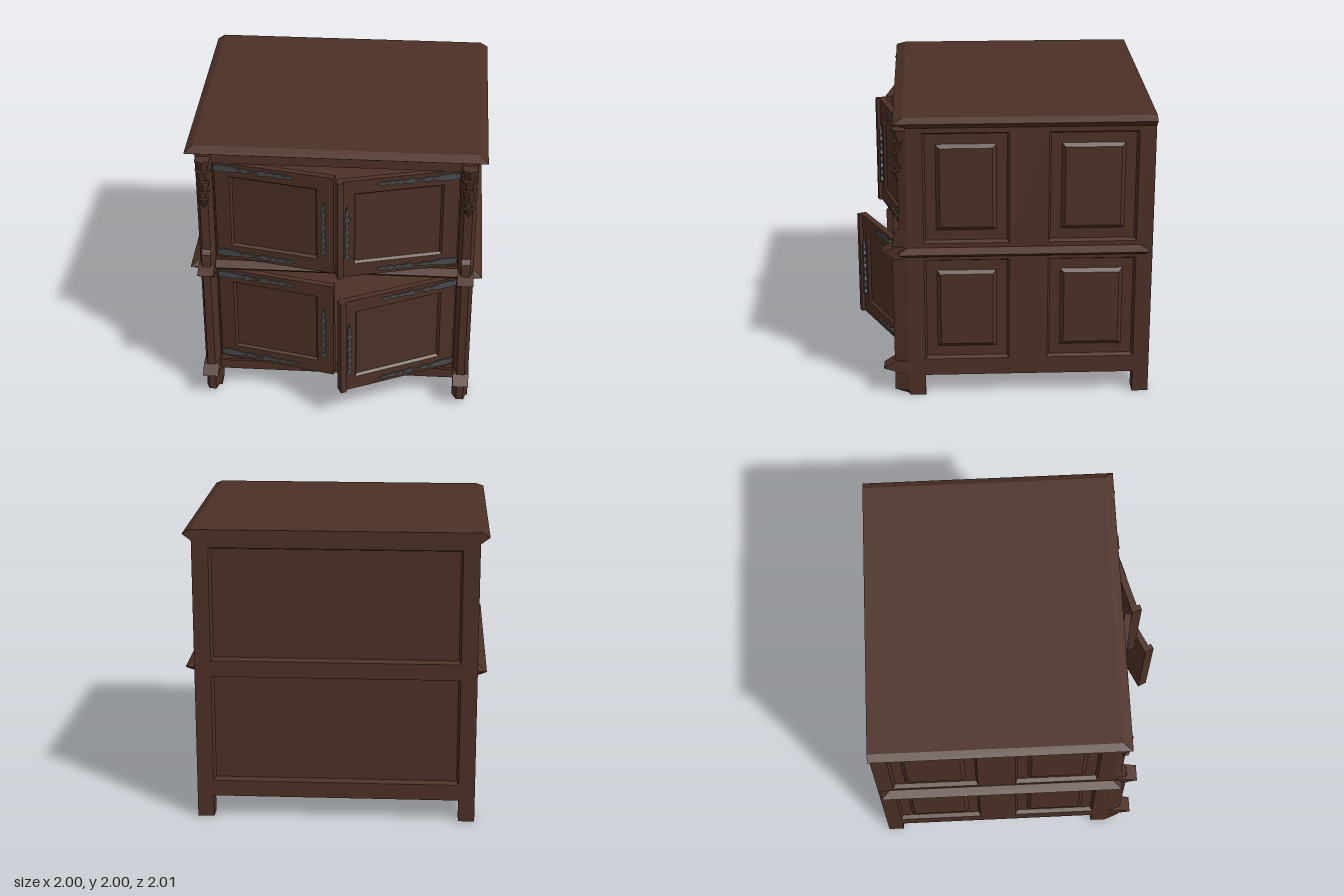
import * as THREE from 'three';

const wood = new THREE.MeshStandardMaterial({ color: 0x4c3025 });
wood.name = 'dark wood';
const iron = new THREE.MeshStandardMaterial({ color: 0x474a4c });
iron.name = 'grey iron';

function add(parent, name, geometry, material = wood) {
  const mesh = new THREE.Mesh(geometry, material);
  mesh.name = name;
  parent.add(mesh);
  return mesh;
}

function box(parent, name, x0, x1, y0, y1, z0, z1) {
  const g = new THREE.BoxGeometry(x1 - x0, y1 - y0, z1 - z0);
  return add(parent, name, g.translate((x0 + x1) / 2, (y0 + y1) / 2, (z0 + z1) / 2));
}

// Flat-faced skin over matching rings of corners, counter-clockwise seen from +z.
function loft(rings, capStart = false) {
  const p = [];
  const fan = (r) => { for (let i = 1; i < r.length - 1; i++) p.push(...r[0], ...r[i], ...r[i + 1]); };
  for (let k = 0; k < rings.length - 1; k++) {
    const a = rings[k], b = rings[k + 1];
    a.forEach((c, i) => {
      const j = (i + 1) % a.length;
      p.push(...c, ...a[j], ...b[j], ...c, ...b[j], ...b[i]);
    });
  }
  fan(rings.at(-1));
  if (capStart) fan([...rings[0]].reverse());
  const g = new THREE.BufferGeometry();
  g.setAttribute('position', new THREE.Float32BufferAttribute(p, 3));
  g.computeVertexNormals();
  return g;
}

const rect = ([x0, x1, y0, y1], z, inset = 0) => [
  [x0 + inset, y0 + inset, z], [x1 - inset, y0 + inset, z],
  [x1 - inset, y1 - inset, z], [x0 + inset, y1 - inset, z]];

// Upright loft: rings lie in plan and rise along y.
const upright = (rings) => loft(rings, true).rotateX(-Math.PI / 2);
const plan = (hx, zBack, zFront, y) => rect([-hx, hx, -zFront, -zBack], y);
const postRing = (c, w, wFront, zBack, zFront, y) => [
  [c - wFront, -zFront, y], [c + wFront, -zFront, y], [c + w, -0.64, y],
  [c + w, -zBack, y], [c - w, -zBack, y], [c - w, -0.64, y]];

function frameGeometry([x0, x1, y0, y1], holes, depth) {
  const path = (C, a, b, c, d) => new C([[a, c], [b, c], [b, d], [a, d]].map((q) => new THREE.Vector2(...q)));
  const shape = path(THREE.Shape, x0, x1, y0, y1);
  shape.holes = holes.map((h) => path(THREE.Path, ...h));
  return new THREE.ExtrudeGeometry(shape, { depth, bevelEnabled: false }).translate(0, 0, -depth);
}

// Frame facing +z at z = 0, with sunk panels; raised panels have a bevelled field.
function panelled(name, outer, holes, depth, sink, raised) {
  const group = new THREE.Group();
  group.name = name;
  add(group, name + 'Frame', frameGeometry(outer, holes, depth));
  for (const h of holes) {
    const rings = [rect(h, 0), rect(h, -sink, 0.014)];
    if (raised) rings.push(rect(h, -sink, 0.085), rect(h, -sink + 0.02, 0.11));
    add(group, name + 'Panel', loft(rings));
    box(group, name + 'Backing', h[0], h[1], h[2], h[3], -depth, -depth + 0.01);
  }
  return group;
}

// Thin iron plate with a mirrored outline, given as [distance, half width].
function ironPlate(parent, name, outline, x, y, dir, vertical, depth) {
  const pts = [...outline, ...outline.map(([t, h]) => [t, -h]).reverse()]
    .map(([t, h]) => (vertical ? new THREE.Vector2(x + h, y + t) : new THREE.Vector2(x + dir * t, y + h)));
  const g = new THREE.ExtrudeGeometry(new THREE.Shape(pts), { depth, bevelEnabled: false });
  add(parent, name, g, iron);
}

const strap = [[0, 0.027], [0.02, 0.018], [0.04, 0.026], [0.13, 0.022], [0.19, 0.007], [0.2, 0.02],
  [0.26, 0.007], [0.31, 0.008], [0.32, 0.024], [0.38, 0.008], [0.4, 0.018], [0.43, 0.007],
  [0.46, 0.02], [0.49, 0.008], [0.53, 0.014], [0.56, 0.002]];
const handle = [[0, 0.002]];
for (let i = 0; i < 8; i++) {
  handle.push([0.02 + i * 0.05, i % 2 ? 0.014 : 0.021], [0.045 + i * 0.05, 0.007]);
}
handle.push([0.42, 0.002]);

// side: -1 hinges on the model's right, +1 on its left.
function door(name, side, y, width, degrees) {
  const dir = -side;
  const span = (a, b) => (dir > 0 ? [a, b] : [-b, -a]);
  const d = panelled(name, [...span(0, width), 0, 0.75], [[...span(0.105, width - 0.115), 0.1, 0.65]], 0.045, 0.018, false);
  for (const sy of [0.04, 0.71]) ironPlate(d, 'strapHinge', strap, 0, sy, dir, false, 0.009);
  ironPlate(d, 'handlePlate', handle, dir * (width - 0.068), 0.14, dir, true, 0.014);
  if (side > 0) box(d, 'meetingStrip', ...span(width - 0.04, width), 0, 0.75, 0, 0.022);
  d.position.set(side * 0.82, y, 0.62);
  d.rotation.y = side * THREE.MathUtils.degToRad(degrees);
  return d;
}

export function createModel() {
  const cabinet = new THREE.Group();
  cabinet.name = 'cabinet';

  // Sides with four raised panels each
  for (const s of [1, -1]) {
    const holes = [];
    for (const [y0, y1] of [[0.27, 1.0], [1.12, 1.89]]) {
      for (const [z0, z1] of [[-0.04, 0.53], [-0.89, -0.3]]) {
        holes.push(s > 0 ? [-z1, -z0, y0, y1] : [z0, z1, y0, y1]);
      }
    }
    const side = panelled('side', s > 0 ? [-0.64, 1, 0.15, 1.94] : [-1, 0.64, 0.15, 1.94], holes, 0.07, 0.03, true);
    side.position.x = s * 0.94;
    side.rotation.y = s * Math.PI / 2;
    cabinet.add(side);
  }

  // Back with two sunk panels
  const back = panelled('back', [-0.94, 0.94, 0.15, 1.94],
    [[-0.83, 0.83, 0.26, 1.0], [-0.83, 0.83, 1.11, 1.88]], 0.07, 0.045, false);
  back.position.z = -1;
  back.rotation.y = Math.PI;
  cabinet.add(back);

  // Front frame, floor and shelf
  add(cabinet, 'frontFrame', frameGeometry([-0.94, 0.94, 0.15, 1.94],
    [[-0.825, 0.825, 0.25, 1.01], [-0.825, 0.825, 1.11, 1.86]], 0.07).translate(0, 0, 0.64));
  box(cabinet, 'frontSill', -0.83, 0.83, 0.23, 0.25, 0.6, 0.655);
  box(cabinet, 'floor', -0.9, 0.9, 0.21, 0.245, -0.95, 0.6);
  box(cabinet, 'shelf', -0.9, 0.9, 1.03, 1.08, -0.95, 0.6);

  // Cornice and middle moulding
  add(cabinet, 'cornice', upright([plan(0.94, -1, 0.64, 1.925), plan(0.965, -1, 0.68, 1.945),
    plan(1, -1, 0.72, 1.97), plan(0.95, -1, 0.655, 2)]));
  add(cabinet, 'middleMoulding', upright([plan(0.945, -0.94, 0.645, 1.025), plan(0.965, -0.95, 0.67, 1.035),
    plan(1, -0.98, 0.7, 1.06), plan(0.945, -0.92, 0.645, 1.09)]));

  for (const s of [1, -1]) {
    const c = s * 0.885;
    const post = (name, rows) => add(cabinet, name,
      upright(rows.map(([y, zFront, w, zBack = 0.53]) => postRing(c, 0.055, w, zBack, zFront, y))));

    // Feet and lower posts
    box(cabinet, 'backFoot', c - 0.055, c + 0.055, 0, 0.15, -1, -0.89);
    post('frontFoot', [[0, 0.645, 0.025], [0.035, 0.74, 0.025], [0.2, 0.74, 0.025]]);
    post('footMoulding', [[0.15, 0.645, 0.055], [0.205, 0.815, 0.055], [0.255, 0.74, 0.055]]);
    post('lowerPost', [[0.24, 0.74, 0.026], [1.02, 0.74, 0.026]]);
    post('postMoulding', [[1.01, 0.74, 0.055], [1.03, 0.745, 0.055], [1.06, 0.81, 0.055], [1.095, 0.73, 0.055]]);

    // Upper posts with bases
    post('upperPostBase', [[1.09, 0.74, 0.03], [1.18, 0.73, 0.03], [1.21, 0.69, 0.03]]);
    post('upperPost', [[1.2, 0.695, 0.028], [1.9, 0.695, 0.028]]);

    // Carved leaf bracket: stacked flared tiers ending in a point
    [[1.91, 0.058], [1.83, 0.055], [1.75, 0.052], [1.67, 0.046]].forEach(([y, r], i) => {
      const tier = new THREE.CylinderGeometry(r, r * 0.6, 0.075, 6).toNonIndexed();
      tier.computeVertexNormals();
      const m = add(cabinet, 'carvedLeafTier', tier);
      m.position.set(c, y - 0.04, 0.675);
      m.rotation.y = (i % 2) * Math.PI / 6;
    });
    const tip = new THREE.CylinderGeometry(0.044, 0.004, 0.08, 6).toNonIndexed();
    tip.computeVertexNormals();
    add(cabinet, 'carvedTip', tip.translate(c, 1.58, 0.69));
  }

  // Doors, each standing ajar
  cabinet.add(
    door('upperRightDoor', -1, 1.11, 0.83, 11.5),
    door('lowerRightDoor', -1, 0.255, 0.83, 12.5),
    door('upperLeftDoor', 1, 1.11, 0.83, 15),
    door('lowerLeftDoor', 1, 0.255, 0.855, 25.5));

  return cabinet;
}
